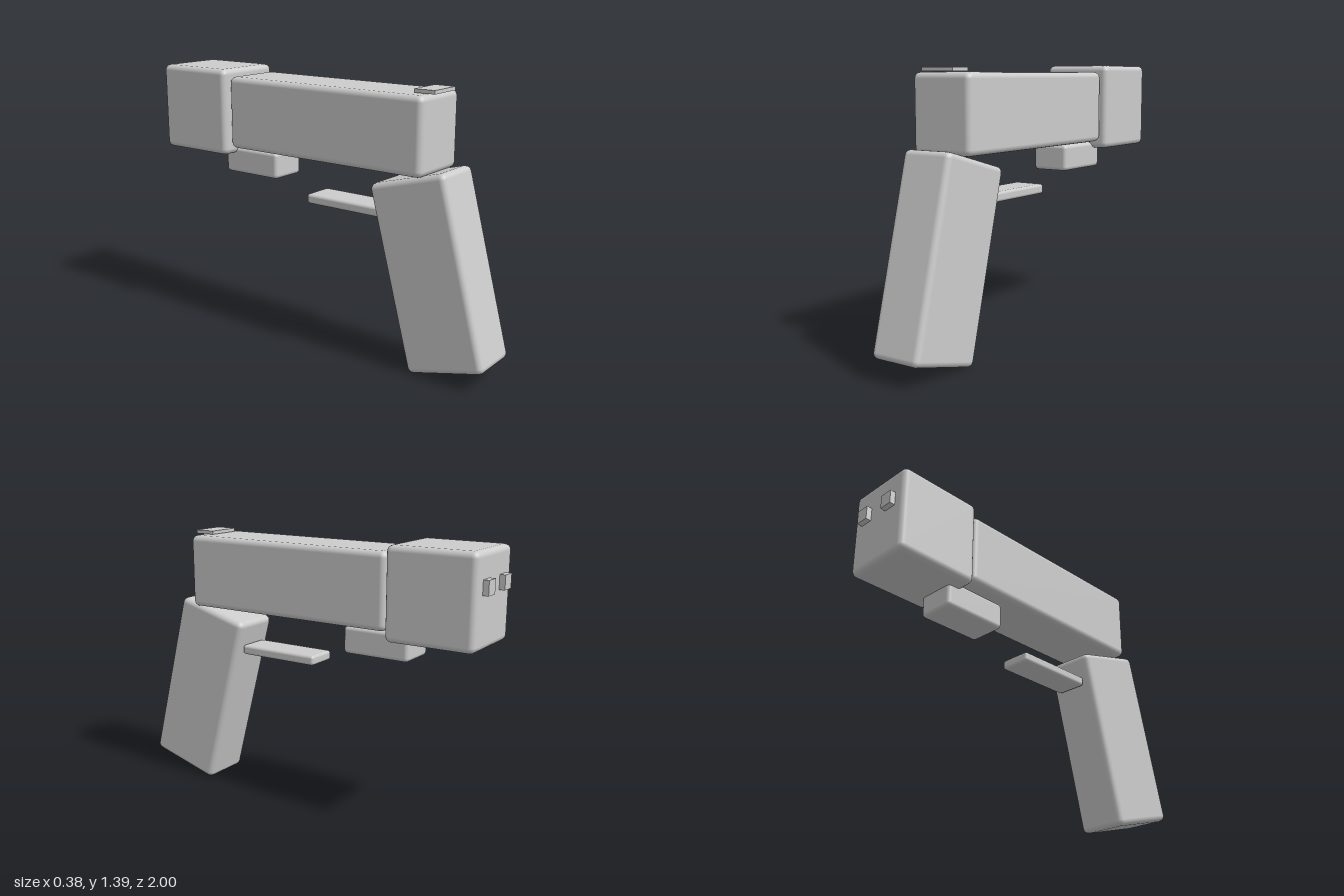
import * as THREE from 'three';
import { RoundedBoxGeometry } from 'three/addons/geometries/RoundedBoxGeometry.js';

export function createModel() {
  const model = new THREE.Group();
  const grey = new THREE.MeshStandardMaterial({ color: 0xcccccc });
  grey.name = 'plain grey';

  // Adds a block with the given size and centre; bevel 0 leaves sharp edges
  function block(name, [w, h, d], [x, y, z], bevel = 0) {
    const geometry = bevel
      ? new RoundedBoxGeometry(w, h, d, 2, bevel)
      : new THREE.BoxGeometry(w, h, d);
    const mesh = new THREE.Mesh(geometry, grey);
    mesh.name = name;
    mesh.position.set(x, y, z);
    model.add(mesh);
    return mesh;
  }

  // Long upper body and the larger block at its far end
  block('body', [0.33, 0.375, 1.17], [0, 1.167, 0.075], 0.03);
  block('headBlock', [0.38, 0.45, 0.45], [0, 1.165, -0.747], 0.03);

  // Raked grip
  const grip = block('grip', [0.27, 0.945, 0.42], [0, 0.505, 0.68], 0.03);
  grip.rotation.x = -Math.PI / 12;

  // Parts hanging below the body
  block('lowerBar', [0.17, 0.05, 0.45], [0, 0.76, 0.165], 0.015);
  block('underBlock', [0.2, 0.137, 0.355], [0, 0.902, -0.427], 0.02);

  // Thin plate on top, overhanging the front edge
  block('topPlate', [0.18, 0.018, 0.11], [0, 1.366, 0.625]);

  // Paired studs on the end face
  for (const side of [-1, 1]) {
    block(side > 0 ? 'leftStud' : 'rightStud', [0.07, 0.07, 0.04], [side * 0.09, 1.23, -0.98]);
  }
  return model;
}
